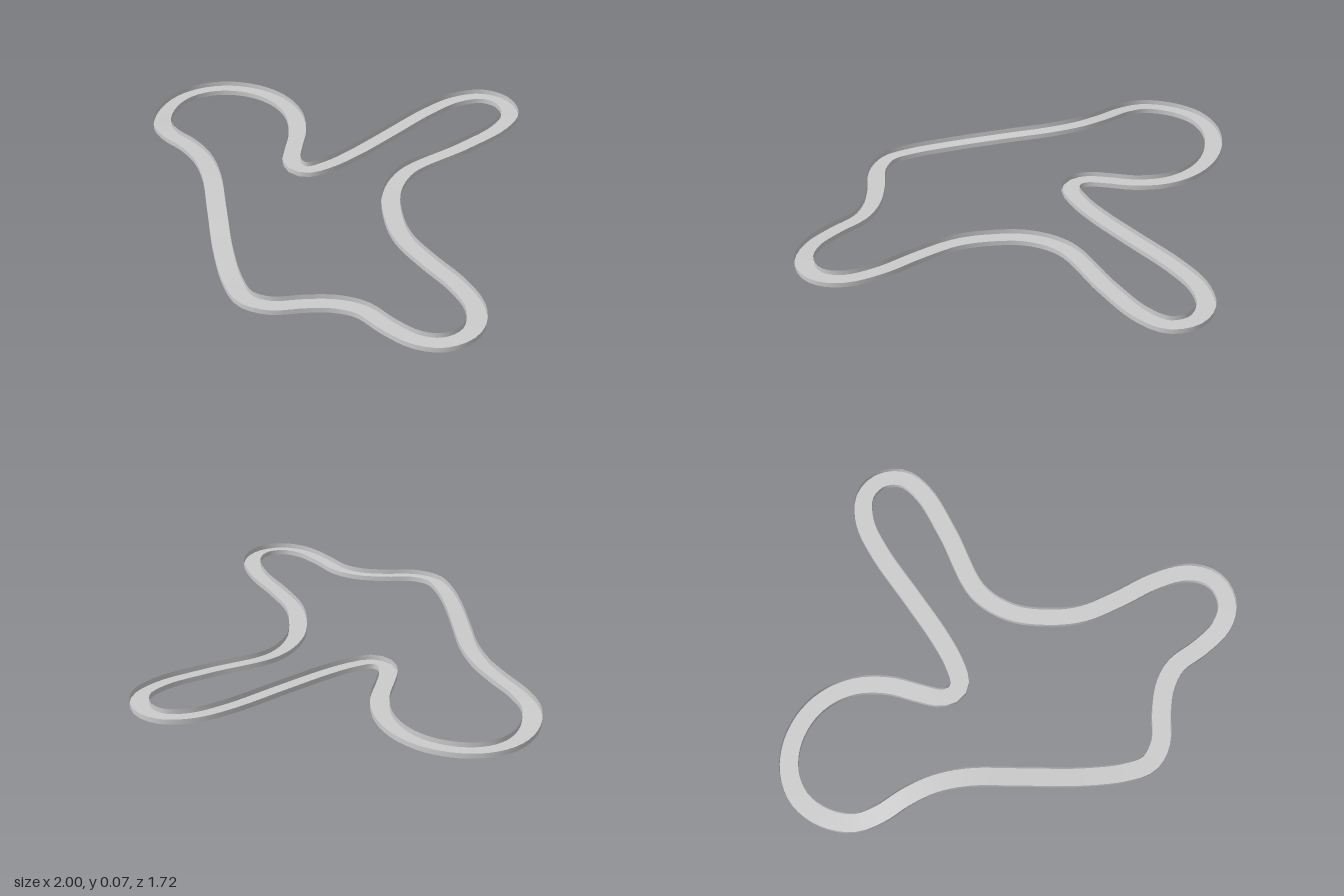
import * as THREE from 'three';

const HALF_WIDTH = 0.038, WALL = 0.022, STEPS = 200;

// Centreline of the circuit: x, z, floor height
const PATH = [
  [0.06, -0.827, 0.023], [0.15, -0.78, 0.023], [0.183, -0.67, 0.021],
  [0.165, -0.46, 0.015], [0.12, -0.17, 0.009], [0.18, -0.02, 0.007],
  [0.30, 0.09, 0.006], [0.42, 0.155, 0.007], [0.58, 0.188, 0.009],
  [0.75, 0.21, 0.011], [0.88, 0.255, 0.013], [0.945, 0.32, 0.013],
  [0.962, 0.39, 0.012], [0.93, 0.475, 0.01], [0.85, 0.53, 0.007],
  [0.73, 0.55, 0.004], [0.6, 0.555, 0.003], [0.51, 0.6, 0.002],
  [0.43, 0.68, 0.002], [0.35, 0.78, 0.003], [0.26, 0.822, 0.004],
  [0.16, 0.797, 0.006], [0, 0.712, 0.015], [-0.2, 0.578, 0.035],
  [-0.37, 0.465, 0.049], [-0.5, 0.41, 0.05], [-0.62, 0.39, 0.044],
  [-0.74, 0.385, 0.032], [-0.84, 0.355, 0.022], [-0.925, 0.265, 0.014],
  [-0.962, 0.15, 0.012], [-0.94, 0.04, 0.011], [-0.87, -0.055, 0.011],
  [-0.76, -0.122, 0.01], [-0.64, -0.142, 0.01], [-0.52, -0.115, 0.01],
  [-0.41, -0.04, 0.01], [-0.33, 0.055, 0.01], [-0.27, 0.12, 0.01],
  [-0.215, 0.138, 0.01], [-0.17, 0.115, 0.01], [-0.14, 0.03, 0.01],
  [-0.125, -0.1, 0.011], [-0.122, -0.3, 0.014], [-0.12, -0.55, 0.018],
  [-0.095, -0.7, 0.021], [-0.03, -0.8, 0.023],
];

// Closed ribbon between two matching loops of points
function ribbon(name, a, b, material) {
  const positions = [], index = [], n = a.length;
  for (let i = 0; i < n; i++) {
    positions.push(...a[i].toArray(), ...b[i].toArray());
    const p = 2 * i, q = 2 * ((i + 1) % n);
    index.push(p, p + 1, q, p + 1, q + 1, q);
  }
  const geometry = new THREE.BufferGeometry();
  geometry.setAttribute('position', new THREE.Float32BufferAttribute(positions, 3));
  geometry.setIndex(index);
  geometry.computeVertexNormals();
  const mesh = new THREE.Mesh(geometry, material);
  mesh.name = name;
  return mesh;
}

export function createModel() {
  const grey = new THREE.MeshStandardMaterial({ color: 0xcccccc });
  grey.name = 'track grey';
  grey.side = THREE.DoubleSide;

  const curve = new THREE.CatmullRomCurve3(
    PATH.map(([x, z, y]) => new THREE.Vector3(x, y, z)), true, 'centripetal');

  // Left and right road edges, offset level from the centreline
  const left = [], right = [];
  for (let i = 0; i < STEPS; i++) {
    const p = curve.getPointAt(i / STEPS);
    const t = curve.getTangentAt(i / STEPS);
    const side = new THREE.Vector3(-t.z, 0, t.x).setLength(HALF_WIDTH);
    left.push(p.clone().sub(side));
    right.push(p.clone().add(side));
    for (const edge of [left, right]) edge[i].y = Math.max(0, p.y - 0.002);
  }
  const raise = (edge) => edge.map((p) => new THREE.Vector3(p.x, p.y + WALL, p.z));

  const group = new THREE.Group();
  group.name = 'raceTrack';
  group.add(
    ribbon('roadFloor', left, right, grey),
    ribbon('outerWall', left, raise(left), grey),
    ribbon('innerWall', raise(right), right, grey),
  );
  return group;
}
